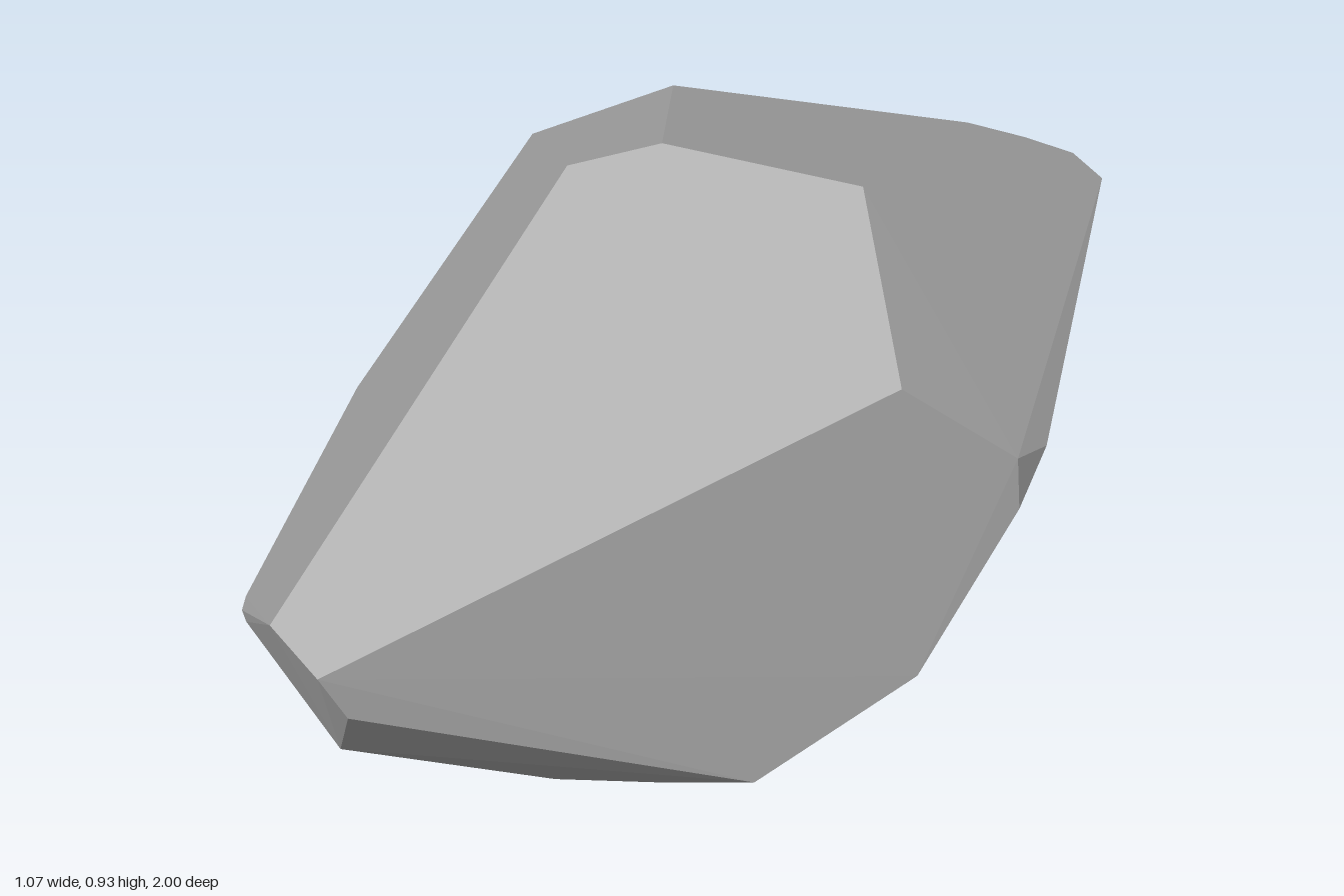
import * as THREE from 'three';
import { ConvexGeometry } from 'three/addons/geometries/ConvexGeometry.js';

// Corners of the faceted boulder, grouped by region (x, y, z)
const crown = [
  [-0.12, 0.915, 0.29], [-0.02, 0.93, 0.2], [0.25, 0.89, 0.12], [0.41, 0.74, 0.34],
];
const nose = [
  [-0.165, 0.6, 0.975], [-0.08, 0.565, 1], [-0.065, 0.48, 0.97], [-0.2, 0.245, 0.83],
  [-0.365, 0.41, 0.8], [-0.365, 0.385, 0.795], [-0.39, 0.395, 0.76],
];
const leftFlank = [
  [0.525, 0.555, 0.18], [0.53, 0.46, 0.17], [0.53, 0.505, 0.07],
  [0.44, 0.21, 0.3], [0.36, 0.53, -0.64],
];
const rightFlank = [
  [-0.53, 0.4, 0.28], [-0.535, 0.42, 0.19], [-0.44, 0.67, -0.13],
  [-0.37, 0.606, -0.48], [-0.44, 0.21, -0.32], [-0.35, 0.34, -0.68],
];
const tail = [
  [0.22, 0.403, -0.91], [0.1, 0.367, -0.985], [-0.02, 0.36, -1],
  [0.11, 0.33, -0.97], [0.15, 0.27, -0.89], [-0.22, 0.28, -0.86],
];
const base = [
  [0.28, 0.11, 0.51], [0.12, 0.01, 0.48], [-0.02, 0.035, 0.57], [0.16, 0, -0.34],
  [0.13, 0.005, -0.45], [-0.26, 0.068, -0.47], [-0.32, 0.08, -0.43],
];

export function createModel() {
  const stone = new THREE.MeshStandardMaterial({ color: 0xb0b0b0 });
  stone.name = 'stone grey';

  // The boulder is the convex skin around its corners, with flat facets
  const corners = [crown, nose, leftFlank, rightFlank, tail, base]
    .flat()
    .map((p) => new THREE.Vector3(...p));
  const boulder = new THREE.Mesh(new ConvexGeometry(corners), stone);
  boulder.name = 'boulder';

  const model = new THREE.Group();
  model.name = 'rock';
  model.add(boulder);
  return model;
}
